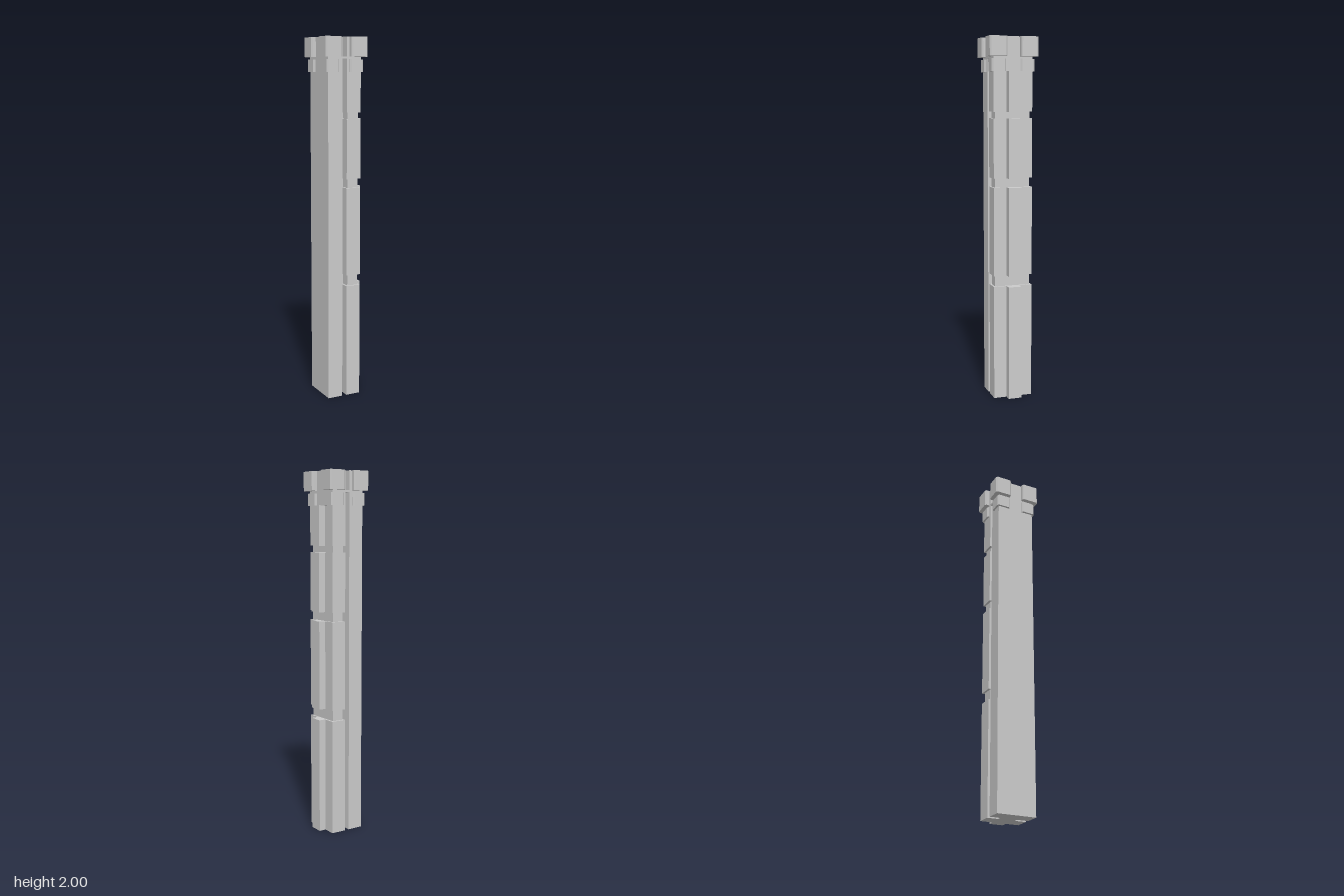
import * as THREE from 'three';

const material = new THREE.MeshStandardMaterial({ color: 0xcccccc, flatShading: true });

// Box given by its limits on each axis
function block(name, [x0, x1], [y0, y1], [z0, z1]) {
  const geometry = new THREE.BoxGeometry(x1 - x0, y1 - y0, z1 - z0);
  geometry.translate((x0 + x1) / 2, (y0 + y1) / 2, (z0 + z1) / 2);
  const mesh = new THREE.Mesh(geometry, material);
  mesh.name = name;
  return mesh;
}

// Upright block whose four vertical corners are chamfered
function chamferedBlock(name, [x0, x1], [y0, y1], [z0, z1], c = 0.008) {
  const shape = new THREE.Shape([
    [x0 + c, z0], [x1 - c, z0], [x1, z0 + c], [x1, z1 - c],
    [x1 - c, z1], [x0 + c, z1], [x0, z1 - c], [x0, z0 + c],
  ].map(([x, z]) => new THREE.Vector2(x, -z)));
  const geometry = new THREE.ExtrudeGeometry(shape, { depth: y1 - y0, bevelEnabled: false });
  geometry.rotateX(-Math.PI / 2).translate(0, y0, 0);
  const mesh = new THREE.Mesh(geometry, material);
  mesh.name = name;
  return mesh;
}

export function createModel() {
  const column = new THREE.Group();
  column.name = 'column';
  const depth = [-0.11, 0.11];

  // Plain half and the recessed web joining it to the jointed half
  column.add(block('plainHalf', [-0.105, -0.019], [0, 2], depth));
  column.add(block('web', [-0.022, 0.02], [0, 1.94], [-0.048, 0.046]));
  column.add(block('grooveSill', [-0.022, 0.01], [1.885, 1.895], [-0.109, 0.109]));

  // Jointed half: stacked segments with a rib on the outer side
  const segments = [[0, 0.64], [0.7, 1.19], [1.24, 1.565], [1.6, 2]];
  segments.forEach(([y0, y1], i) => {
    column.add(block('jointedSegment', [0.007, 0.091], [y0, y1], depth));
    column.add(block('rib', [0.085, 0.13], [y0, Math.min(y1, 1.815)], [-0.039, 0.037]));
    if (i > 0) {
      // Inset neck filling the joint below this segment
      column.add(block('jointNeck', [0.017, 0.08], [segments[i - 1][1], y0], [-0.098, 0.1]));
    }
  });

  // Two tiers of corner blocks forming the capital
  const tiers = [
    { name: 'upperCapBlock', y: [1.895, 2], xs: [[-0.13, -0.035], [0.023, 0.12]], z: [0.039, 0.137] },
    { name: 'lowerCapBlock', y: [1.815, 1.882], xs: [[-0.117, -0.041], [0.023, 0.102]], z: [0.041, 0.121] },
  ];
  for (const { name, y, xs, z } of tiers) {
    for (const x of xs) {
      column.add(chamferedBlock(name, x, y, z));
      column.add(chamferedBlock(name, x, y, [-z[1], -z[0]]));
    }
  }
  return column;
}
